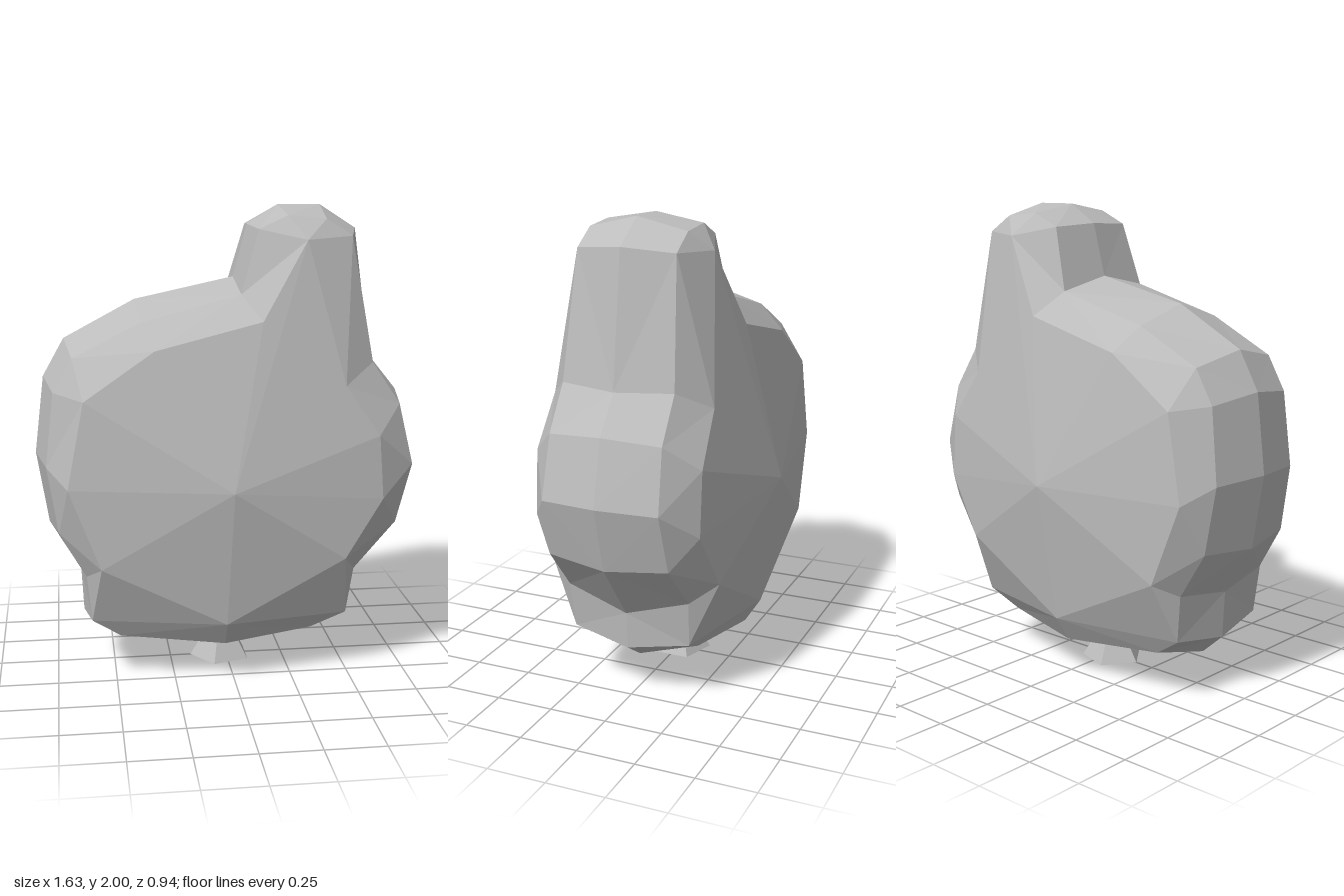
import * as THREE from 'three';

// Rim in the middle plane, counter-clockwise from the bottom [x, y]
const RIM = [
  [-0.04, 0.12], [0.41, 0.15], [0.53, 0.23], [0.54, 0.39], [0.74, 0.65], [0.815, 0.93], [0.75, 1.2],
  [0.63, 1.35], [0.555, 1.9], [0.4, 2], [0.22, 2], [0.09, 1.92], [0.03, 1.7], [-0.39, 1.61],
  [-0.69, 1.45], [-0.78, 1.29], [-0.82, 0.96], [-0.77, 0.65], [-0.64, 0.44], [-0.63, 0.24], [-0.53, 0.15],
];
// Shoulder loop where the rim turns towards each face [x, y, z]
const SHOULDER = [
  [-0.04, 0.17, 0.31], [0.34, 0.2, 0.24], [0.49, 0.27, 0.26], [0.52, 0.47, 0.27], [0.7, 0.67, 0.26],
  [0.77, 0.92, 0.25], [0.71, 1.18, 0.24], [0.59, 1.36, 0.24], [0.5, 1.88, 0.21], [0.39, 1.95, 0.21],
  [0.23, 1.965, 0.21], [0.11, 1.91, 0.21], [0.035, 1.65, 0.24], [-0.38, 1.54, 0.24], [-0.66, 1.4, 0.24],
  [-0.74, 1.26, 0.24], [-0.775, 0.95, 0.25], [-0.73, 0.67, 0.26], [-0.62, 0.48, 0.27],
  [-0.6, 0.28, 0.26], [-0.48, 0.2, 0.24],
];
// Edge of the domed face, and which of its points meets each shoulder point
const FACE = [
  [-0.04, 0.28, 0.38], [0.46, 0.55, 0.38], [0.62, 0.8, 0.36], [0.6, 1.07, 0.36], [0.455, 1.28, 0.35],
  [0.3, 1.87, 0.285], [0.11, 1.55, 0.35], [-0.33, 1.44, 0.355], [-0.62, 1.24, 0.36],
  [-0.69, 0.88, 0.37], [-0.56, 0.54, 0.38],
];
const FACE_INDEX = [0, 0, 0, 1, 1, 2, 3, 4, 5, 5, 5, 5, 6, 7, 8, 8, 9, 10, 10, 0, 0];
const DOME = [-0.02, 0.87, 0.47];

function bodyGeometry() {
  const positions = [];
  const dist = (p, q) => Math.hypot(p[0] - q[0], p[1] - q[1], p[2] - q[2]);

  // Add a triangle to the front half and its mirror to the back half
  const tri = (a, b, c) => {
    if (dist(a, b) < 1e-6 || dist(b, c) < 1e-6 || dist(c, a) < 1e-6) return;
    positions.push(...a, ...b, ...c);
    for (const p of [a, c, b]) positions.push(p[0], p[1], -p[2]);
  };
  // Join two loops, folding each quad on its shorter diagonal
  const band = (outer, inner, ridge = -1) => {
    outer.forEach((a, i) => {
      const j = (i + 1) % outer.length;
      const a2 = outer[j], b = inner[i], b2 = inner[j];
      if (i !== ridge && dist(a, b2) < dist(a2, b)) {
        tri(a, a2, b2);
        tri(a, b2, b);
      } else {
        tri(a, a2, b);
        tri(a2, b2, b);
      }
    });
  };

  const face = FACE_INDEX.map((k) => FACE[k]);
  band(RIM.map(([x, y]) => [x, y, 0]), SHOULDER);
  band(SHOULDER, face, 7);
  FACE.forEach((p, i) => tri(p, FACE[(i + 1) % FACE.length], DOME));

  const geometry = new THREE.BufferGeometry();
  geometry.setAttribute('position', new THREE.Float32BufferAttribute(positions, 3));
  geometry.computeVertexNormals();
  return geometry;
}

export function createModel() {
  const group = new THREE.Group();
  const grey = new THREE.MeshStandardMaterial({ color: 0xbcbcbc, flatShading: true });
  grey.name = 'light grey';

  // Faceted body with a raised lobe
  const body = new THREE.Mesh(bodyGeometry(), grey);
  body.name = 'body';
  group.add(body);

  // Small five-sided flared foot
  const foot = new THREE.Mesh(
    new THREE.CylinderGeometry(0.045, 0.137, 0.15, 5, 1, false, -Math.PI / 2),
    grey
  );
  foot.name = 'foot';
  foot.position.set(-0.023, 0.075, 0);
  group.add(foot);

  return group;
}
